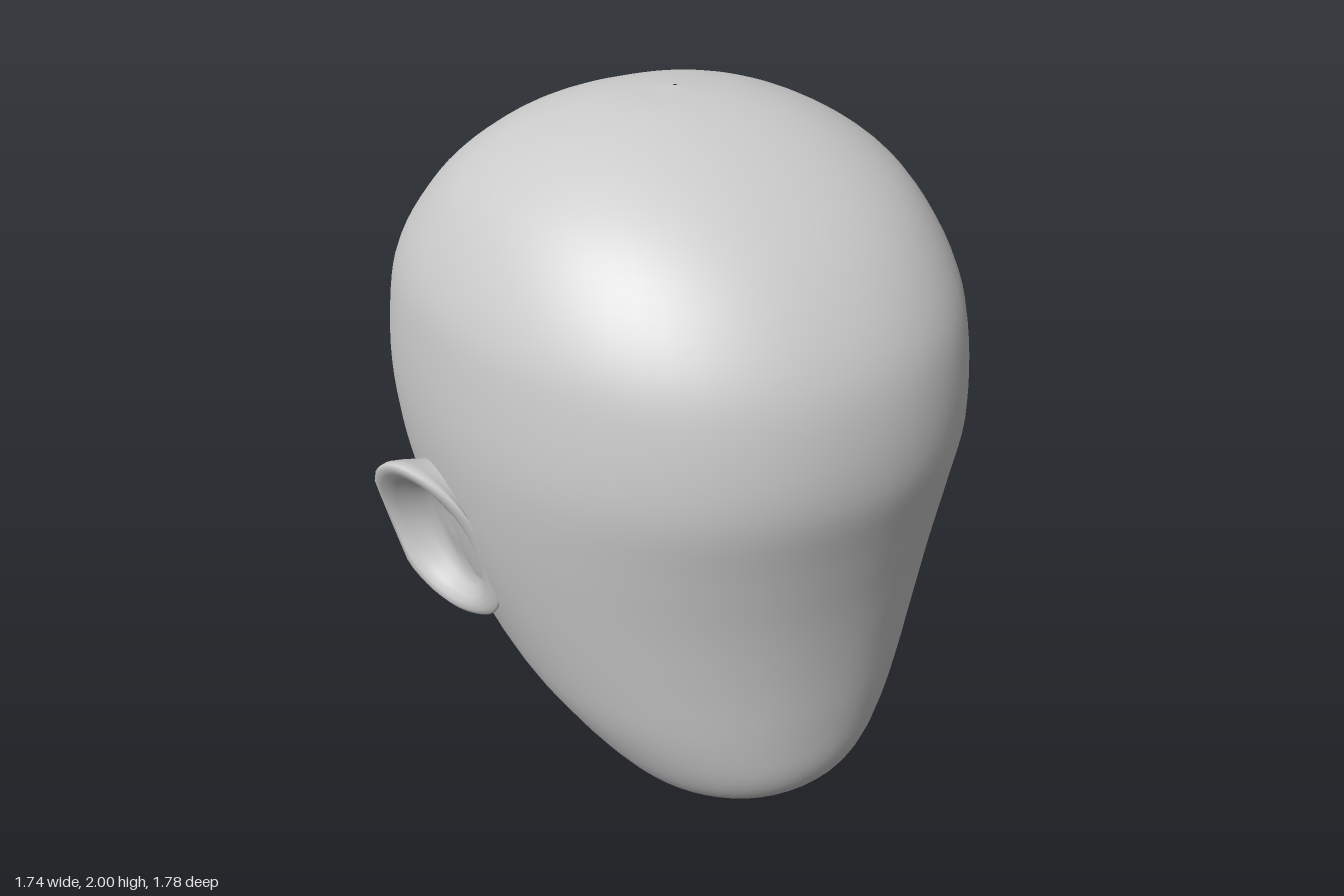
import * as THREE from 'three';

// Skins a stack of closed rings (arrays of Vector3) into a smooth surface
function loft(rings) {
  const n = rings[0].length, pos = [], idx = [];
  rings.forEach(r => r.forEach(p => pos.push(p.x, p.y, p.z)));
  for (let i = 0; i < rings.length - 1; i++) {
    for (let j = 0; j < n; j++) {
      const a = i * n + j, b = i * n + (j + 1) % n;
      idx.push(a, a + n, b, b, a + n, b + n);
    }
  }
  const g = new THREE.BufferGeometry();
  g.setAttribute('position', new THREE.Float32BufferAttribute(pos, 3));
  g.setIndex(idx);
  g.computeVertexNormals();
  return g;
}

const signedPow = (v, e) => Math.sign(v) * Math.abs(v) ** e;

// Head levels: y, half width, front z, back z, z of widest point
const LEVELS = [
  [0.003, 0.01, 0.24, 0.22, 0.23],
  [0.008, 0.14, 0.38, 0.12, 0.25],
  [0.03, 0.25, 0.49, 0.0, 0.25],
  [0.08, 0.335, 0.63, -0.16, 0.24],
  [0.15, 0.40, 0.725, -0.30, 0.2],
  [0.25, 0.475, 0.775, -0.44, 0.15],
  [0.4, 0.565, 0.79, -0.59, 0.1],
  [0.6, 0.64, 0.80, -0.745, 0.05],
  [0.8, 0.70, 0.82, -0.84, 0.0],
  [1.0, 0.74, 0.855, -0.885, -0.02],
  [1.2, 0.757, 0.893, -0.887, -0.02],
  [1.4, 0.748, 0.875, -0.845, -0.02],
  [1.55, 0.722, 0.82, -0.775, -0.01],
  [1.7, 0.652, 0.705, -0.65, 0],
  [1.82, 0.555, 0.56, -0.515, 0],
  [1.92, 0.395, 0.38, -0.37, 0],
  [1.98, 0.205, 0.19, -0.2, 0],
  [2.0, 0.005, 0.005, -0.005, 0],
];

function headGeometry() {
  const SEG = 64, STEPS = 68, rings = [];
  const curve = (i, k) => new THREE.CatmullRomCurve3(
    LEVELS.map(l => new THREE.Vector3(l[i], l[0], l[k])), false, 'catmullrom', 0.5);
  const sides = curve(1, 4), profile = curve(2, 3);
  for (let i = 0; i <= STEPS; i++) {
    const { x: width, y, z: mid } = sides.getPoint(i / STEPS);
    const { x: front, z: back } = profile.getPoint(i / STEPS);
    const ring = [];
    for (let j = 0; j < SEG; j++) {
      const a = j / SEG * Math.PI * 2, c = Math.cos(a), s = Math.sin(a);
      // Fuller curve behind, rounder curve in front
      const e = 2 / (s > 0 ? 2.1 : 2.35);
      const reach = s > 0 ? front - mid : mid - back;
      ring.push(new THREE.Vector3(width * signedPow(c, e), y, mid + reach * signedPow(s, e)));
    }
    rings.push(ring);
  }
  return loft(rings);
}

// Ear rings from hollow to rim to base: radius, share of the rim height
const EAR = [[0.01, 0.3], [0.3, 0.25], [0.52, 0.28], [0.66, 0.45], [0.76, 0.78], [0.85, 0.97],
  [0.93, 1.02], [0.98, 0.96], [1, 0.82], [0.98, 0.55], [0.94, 0.2], [0.93, -0.25]];

function earGeometry(side) {
  const SEG = 48;
  return loft(EAR.map(([r, h]) => Array.from({ length: SEG }, (_, j) => {
    const a = side * j / SEG * Math.PI * 2, c = Math.cos(a), s = Math.sin(a);
    // Squarer towards the face, where the rim runs into the cheek
    const y = 0.82 + 0.257 * r * signedPow(c, s > 0 ? 0.75 : 1), z = -0.022 + 0.203 * r * s;
    // The ear flares away from the skull towards the back
    const flare = THREE.MathUtils.clamp((0.2 - z) / 0.36, 0, 1.02);
    const skull = 0.64 + (y - 0.58) * 0.235 - 0.3 * z * z;
    return new THREE.Vector3(side * (skull - 0.015 + 0.155 * flare * h), y, z);
  })));
}

export function createModel() {
  const group = new THREE.Group();
  group.name = 'headModel';
  const material = new THREE.MeshStandardMaterial({ color: 0xcccccc });
  const add = (name, geometry) => {
    const mesh = new THREE.Mesh(geometry, material);
    mesh.name = name;
    group.add(mesh);
  };
  add('head', headGeometry());
  add('leftEar', earGeometry(1));
  add('rightEar', earGeometry(-1));
  return group;
}
